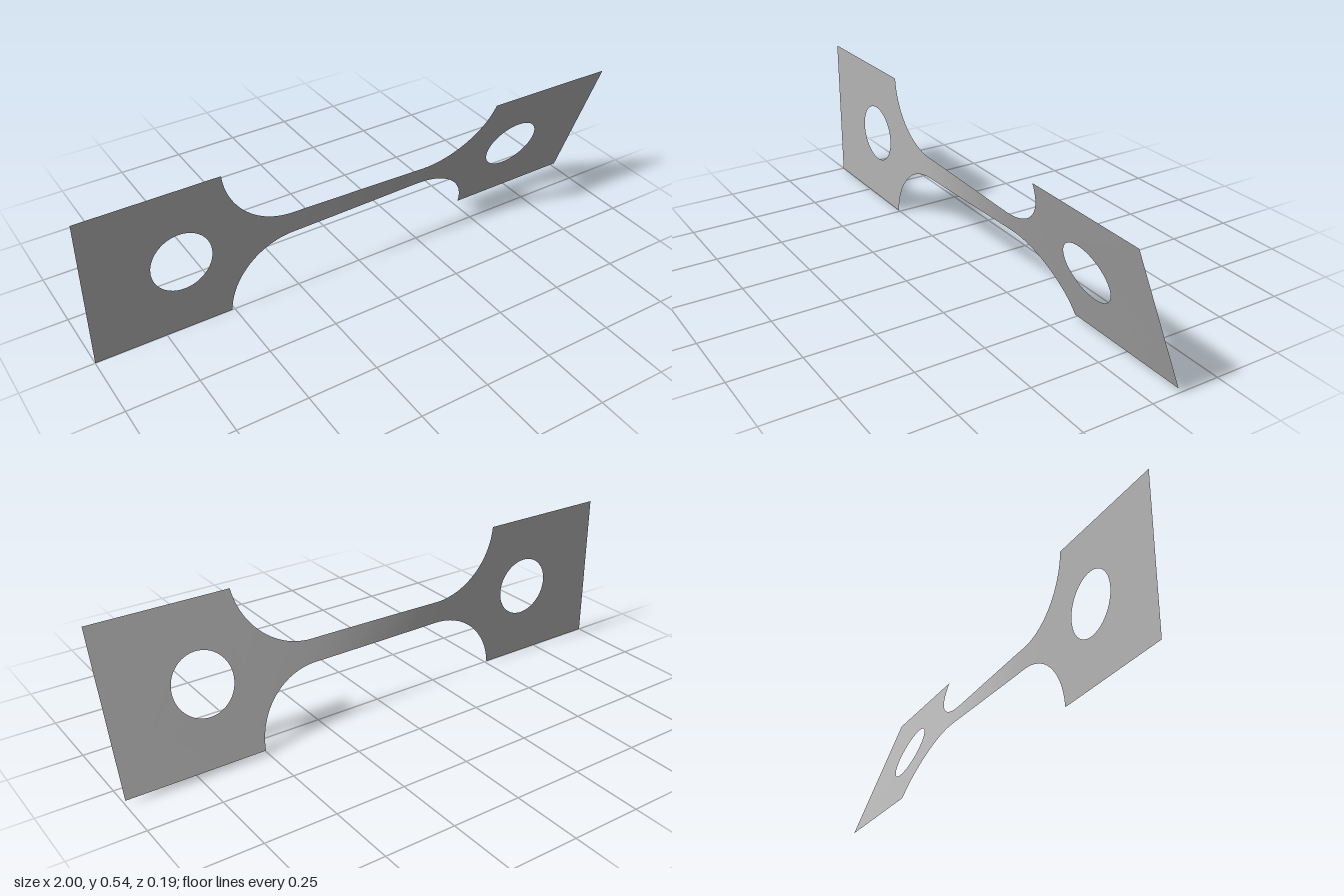
import * as THREE from 'three';

const HALF_HEIGHT = 0.272, NECK_HALF = 0.04;
const NECK_END = 0.26, FILLET = 0.25;
const FILLET_Y = NECK_HALF + FILLET;
const FILLET_ANGLE = Math.acos((FILLET_Y - HALF_HEIGHT) / FILLET);
const GRIP_START = NECK_END + FILLET * Math.sin(FILLET_ANGLE);

// Twist angle in degrees along x: nearly all of it happens in the narrow neck
const TWIST = [[-1, 0], [-0.5, 0], [-0.3, 0.5], [-0.22, 1.9], [0.22, 17.6], [0.3, 19], [0.51, 19.9], [1, 20.6]];

function twistAt(x) {
  let i = 1;
  while (i < TWIST.length - 1 && x > TWIST[i][0]) i++;
  const [x0, a0] = TWIST[i - 1], [x1, a1] = TWIST[i];
  return THREE.MathUtils.degToRad(THREE.MathUtils.mapLinear(x, x0, x1, a0, a1));
}

// Rotate every flat point about the long axis and lift the sheet to the ground
function twist(geometry) {
  const p = geometry.attributes.position;
  for (let i = 0; i < p.count; i++) {
    const x = p.getX(i), y = p.getY(i), a = twistAt(x);
    p.setXYZ(i, x, HALF_HEIGHT + y * Math.cos(a), y * Math.sin(a));
  }
  geometry.computeVertexNormals();
  return geometry;
}

// Square grip with a round pin hole
function gripGeometry(side) {
  const a = side * GRIP_START, b = side;
  const x0 = Math.min(a, b), x1 = Math.max(a, b);
  const shape = new THREE.Shape([
    new THREE.Vector2(x0, -HALF_HEIGHT), new THREE.Vector2(x1, -HALF_HEIGHT),
    new THREE.Vector2(x1, HALF_HEIGHT), new THREE.Vector2(x0, HALF_HEIGHT),
  ]);
  const hole = new THREE.Path();
  hole.absarc(side * 0.67, 0, 0.108, 0, Math.PI * 2, true);
  shape.holes.push(hole);
  return twist(new THREE.ShapeGeometry(shape, 32));
}

// Narrow neck flaring into the grips through circular fillets
function neckGeometry() {
  const g = new THREE.PlaneGeometry(2, 2, 80, 6);
  const p = g.attributes.position, straight = 0.4;
  for (let i = 0; i < p.count; i++) {
    const u = p.getX(i), v = p.getY(i), d = Math.abs(u);
    let x = d / straight * NECK_END, h = NECK_HALF;
    if (d > straight) {
      const a = (d - straight) / (1 - straight) * FILLET_ANGLE;
      x = NECK_END + FILLET * Math.sin(a);
      h = FILLET_Y - FILLET * Math.cos(a);
    }
    p.setXYZ(i, Math.sign(u) * x, v * h, 0);
  }
  return twist(g);
}

export function createModel() {
  const group = new THREE.Group();
  group.name = 'twistedTestStrip';
  const metal = new THREE.MeshStandardMaterial({ color: 0xb4b4b4, side: THREE.DoubleSide });
  metal.name = 'grey metal';
  const add = (name, geometry) => {
    const mesh = new THREE.Mesh(geometry, metal);
    mesh.name = name;
    group.add(mesh);
  };
  add('rightGrip', gripGeometry(-1));
  add('neck', neckGeometry());
  add('leftGrip', gripGeometry(1));
  return group;
}
